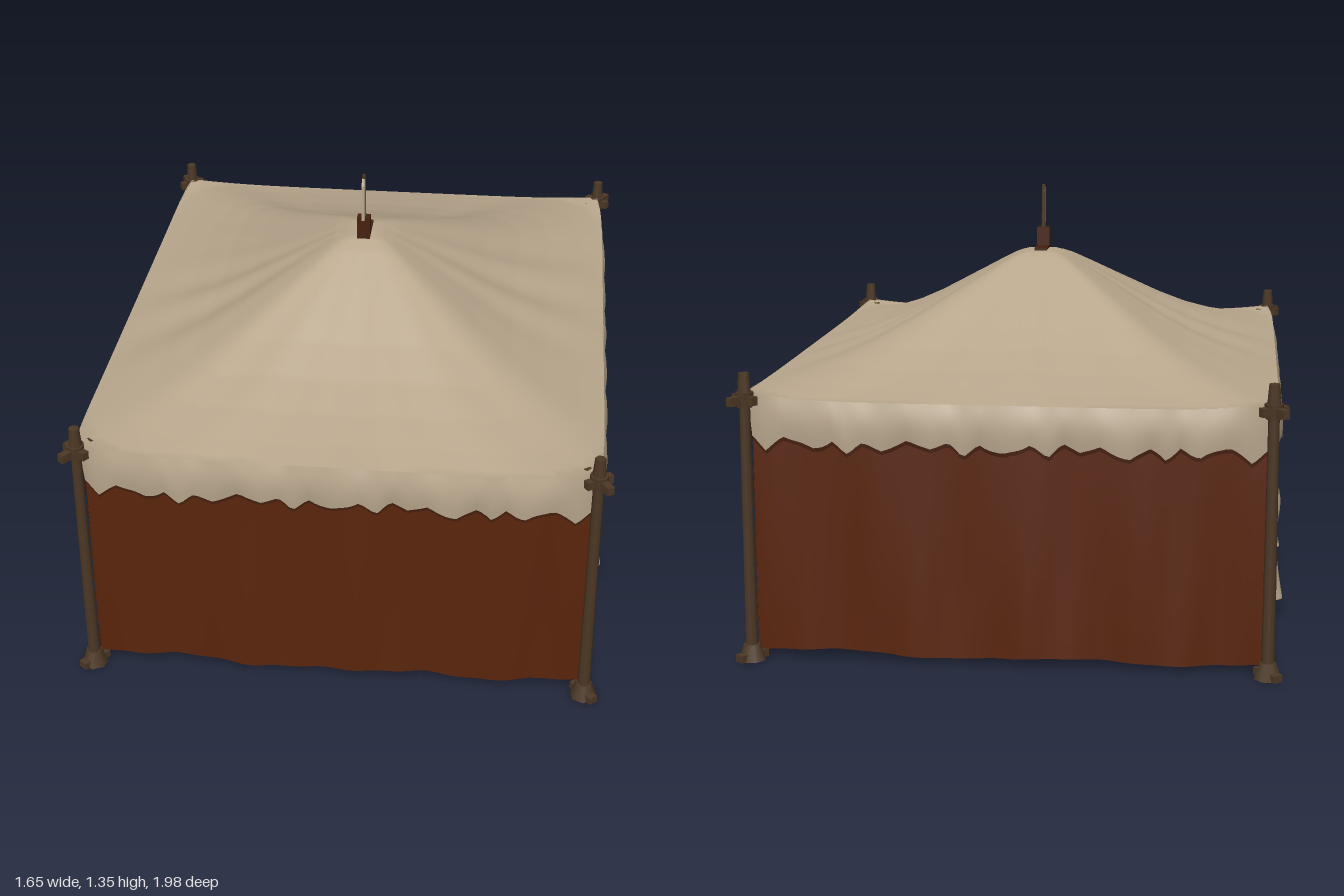
import * as THREE from 'three';
import { ParametricGeometry } from 'three/addons/geometries/ParametricGeometry.js';

const mat = (name, color, side = THREE.FrontSide) => {
  const m = new THREE.MeshStandardMaterial({ color, side });
  m.name = name;
  return m;
};

export function createModel() {
  const canvas = mat('cream canvas', 0xb8a68c, THREE.DoubleSide);
  const cloth = mat('rust cloth', 0x58240b, THREE.DoubleSide);
  const wood = mat('weathered wood', 0x4c3825);
  const darkWood = mat('red brown trim', 0x45200f, THREE.DoubleSide);
  const maroon = mat('dark maroon matting', 0x260c0c);
  const boardSkin = [wood, wood, wood, maroon, wood, wood]; // stained underside

  const model = new THREE.Group();
  const add = (parent, name, geometry, material, x = 0, y = 0, z = 0) => {
    const mesh = new THREE.Mesh(geometry, material);
    mesh.name = name;
    mesh.position.set(x, y, z);
    parent.add(mesh);
    return mesh;
  };
  const surface = (fn, nu, nv) => new ParametricGeometry((u, v, p) => p.set(...fn(u, v)), nu, nv);
  const hip = (a) => 0.025 * Math.pow(Math.abs(a), 6); // lift towards the corners
  const pinch = (a) => 0.022 * Math.pow(Math.abs(a), 10); // cloth drawn in behind the posts

  // Roof: concave pyramid, soft hips and radiating folds
  const profile = [[0, 1.14], [0.07, 1.135], [0.13, 1.115], [0.25, 1.06], [0.38, 1.0], [0.5, 0.945],
    [0.63, 0.893], [0.76, 0.853], [0.9, 0.82], [1, 0.8]];
  const roofHeight = (d) => {
    const i = Math.max(1, profile.findIndex((p) => p[0] >= d));
    const [a, b] = [profile[i - 1], profile[i]];
    return a[1] + (b[1] - a[1]) * (d - a[0]) / (b[0] - a[0]);
  };
  add(model, 'roof', surface((u, v) => {
    const a = 2 * u - 1, b = 1 - 2 * v;
    const m = Math.max(Math.abs(a), Math.abs(b));
    const d = Math.min(1, Math.pow(Math.abs(a) ** 8 + Math.abs(b) ** 8, 1 / 8));
    const t = Math.atan2(b, a);
    const fold = Math.sin(t * 11 + 2 * Math.sin(t * 2)) + 0.6 * Math.sin(t * 19 + 1);
    const y = roofHeight(d) + 0.03 * fold * m * m * (1 - m) + hip(a * b);
    return [a * (0.79 - pinch(a * b)), y, b * (0.945 - pinch(a * b)) + 0.05 * (1 - m)];
  }, 72, 72), canvas);

  // Hanging cloth panel facing +z, with folds and a belly growing downwards
  const panel = (x0, x1, y0, y1, amp, freq, belly) => surface((u, v) => {
    const x = x0 + (x1 - x0) * u;
    const low = 1 - v;
    return [x, y0 + (y1 - y0) * v + 0.006 * low * Math.sin(x * 9),
      amp * (0.3 + low) * (Math.sin(x * freq + v * 2) + 0.5 * Math.sin(x * freq * 2.3 - v * 3))
      + belly * low * Math.sin(Math.PI * u)];
  }, 48, 16);

  // Valance flaring outwards to an uneven, pointed hem
  const valance = (halfWidth, teeth, lower) => surface((u, v) => {
    const a = 2 * u - 1, drop = 1 - v;
    const phase = u * teeth + 0.15 * Math.sin(u * 31);
    const tooth = 1 - Math.abs(2 * (phase - Math.floor(phase)) - 1);
    const hem = 0.688 - lower - (0.034 + 0.01 * Math.sin(u * 47)) * tooth + 0.005 * Math.sin(u * 23);
    const top = 0.8 + hip(a);
    const flare = 0.008 * Math.sin(Math.PI * drop) + 0.005 * drop * Math.sin(a * halfWidth * 24) + 0.012 * drop;
    return [a * (halfWidth - 0.012 * drop), hem + (top - hem) * v,
      flare * (1 - Math.pow(Math.abs(a), 10)) - pinch(a)];
  }, teeth * 8, 6);
  const addValance = (side, halfWidth, teeth, z) => {
    add(side, 'valance', valance(halfWidth, teeth, 0), canvas, 0, 0, z);
    add(side, 'hemTrim', valance(halfWidth, teeth, 0.009), darkWood, 0, -0.004, z - 0.006);
  };

  // Front and back walls
  for (const [name, turn] of [['front', 0], ['back', Math.PI]]) {
    const side = new THREE.Group();
    side.name = `${name}Side`;
    side.rotation.y = turn;
    add(side, 'wall', panel(-0.76, 0.76, 0.025, 0.79, 0.006, 17, 0.022), cloth, 0, 0, 0.9);
    addValance(side, 0.768, 13, 0.942);
    model.add(side);
  }

  // Long sides: two wall halves, open doorway, drawn curtains and a sill
  for (const [name, turn] of [['left', Math.PI / 2], ['right', -Math.PI / 2]]) {
    const side = new THREE.Group();
    side.name = `${name}Side`;
    side.rotation.y = turn;
    addValance(side, 0.923, 21, 0.788);
    for (const s of [-1, 1]) {
      const edges = s < 0 ? [-0.905, -0.33] : [0.33, 0.905];
      add(side, 'wallHalf', panel(...edges, 0.03, 0.79, 0.006, 19, 0.01), cloth, 0, 0, 0.76);
      // Curtain is a flattened tube of cloth that swells at the waist and foot
      add(side, 'curtain', surface((u, v) => {
        const t = u * Math.PI * 2;
        const swell = 0.014 + 0.035 * Math.pow(1 - v, 4) + 0.018 * Math.exp(-Math.pow((v - 0.45) * 9, 2));
        const inner = 0.2 + 0.03 * (1 - v) + 0.006 * Math.sin(v * 11);
        const mid = (inner + 0.377) / 2, half = (0.377 - inner) / 2;
        return [s * (mid + half * Math.cos(t)), 0.055 + 0.7 * v,
          0.77 + s * Math.sin(t) * swell * (1 + 0.2 * Math.sin(t * 4 + v * 3))];
      }, 32, 24), canvas);
    }
    add(side, 'doorSill', new THREE.BoxGeometry(0.7, 0.02, 0.05), darkWood, 0, 0.052, 0.74);
    model.add(side);
  }

  // Corner posts with feet, caps and lashing pegs
  for (const sx of [-1, 1]) for (const sz of [-1, 1]) {
    const post = new THREE.Group();
    post.name = 'cornerPost';
    post.position.set(sx * 0.772, 0, sz * 0.935);
    add(post, 'shaft', new THREE.CylinderGeometry(0.016, 0.02, 0.85, 8), wood, 0, 0.425);
    add(post, 'foot', new THREE.CylinderGeometry(0.025, 0.042, 0.05, 7), wood, 0, 0.025);
    add(post, 'collar', new THREE.CylinderGeometry(0.028, 0.024, 0.045, 8), wood, 0, 0.8);
    add(post, 'cap', new THREE.CylinderGeometry(0.016, 0.021, 0.06, 7), wood, 0, 0.85);
    for (const [angle, length] of [[0.95, 0.12], [-0.6, 0.09]]) {
      const peg = add(post, 'peg', new THREE.BoxGeometry(length, 0.026, 0.022), wood, 0, 0.8);
      peg.rotation.y = -sx * sz * angle;
    }
    const stake = add(post, 'footStake', new THREE.BoxGeometry(0.1, 0.022, 0.03), wood, 0, 0.012);
    stake.rotation.y = -sx * sz * 0.9;
    model.add(post);
  }

  // Floor: matting at both ends, side rails, crossed planks and a centre hub
  const floor = new THREE.Group();
  floor.name = 'floor';
  for (const s of [-1, 1]) {
    add(floor, 'endMatting', new THREE.BoxGeometry(1.49, 0.02, 0.43), maroon, 0, 0.038, s * 0.675);
    add(floor, 'sideRail', new THREE.BoxGeometry(0.2, 0.02, 0.94), boardSkin, s * 0.635, 0.039, 0);
    const plank = add(floor, 'crossPlank', new THREE.BoxGeometry(0.3, 0.02, 1.6), boardSkin, 0, 0.041 + s * 0.003, 0);
    plank.rotation.y = s * 0.75;
    // Raised ribs on the matting
    for (let i = 0; i < 4; i++) {
      add(floor, 'mattingRib', new THREE.BoxGeometry(1.46, 0.02, 0.03), maroon, 0, 0.052, s * (0.53 + i * 0.1));
    }
  }
  add(floor, 'hub', new THREE.CylinderGeometry(0.33, 0.33, 0.026, 10), [wood, wood, maroon], 0, 0.043, 0);
  model.add(floor);

  // Roof finial: saddle block, socket and a thin pale pennant
  add(model, 'saddleBlock', new THREE.BoxGeometry(0.042, 0.03, 0.1), darkWood, 0, 1.13, 0.05);
  add(model, 'finialSocket', new THREE.BoxGeometry(0.042, 0.09, 0.034), darkWood, 0, 1.16, 0.098);
  add(model, 'finialPole', new THREE.CylinderGeometry(0.006, 0.008, 0.16, 6), wood, 0, 1.27, 0.095);
  const flag = new THREE.Shape([[-0.017, 0], [0.017, 0.01], [0.017, 0.13], [-0.008, 0.145], [-0.017, 0.12]]
    .map((p) => new THREE.Vector2(...p)));
  const pennant = add(model, 'pennant', new THREE.ExtrudeGeometry(flag, { depth: 0.009, bevelEnabled: false }),
    canvas, -0.0045, 1.2, 0.108);
  pennant.rotation.y = Math.PI / 2;

  return model;
}
